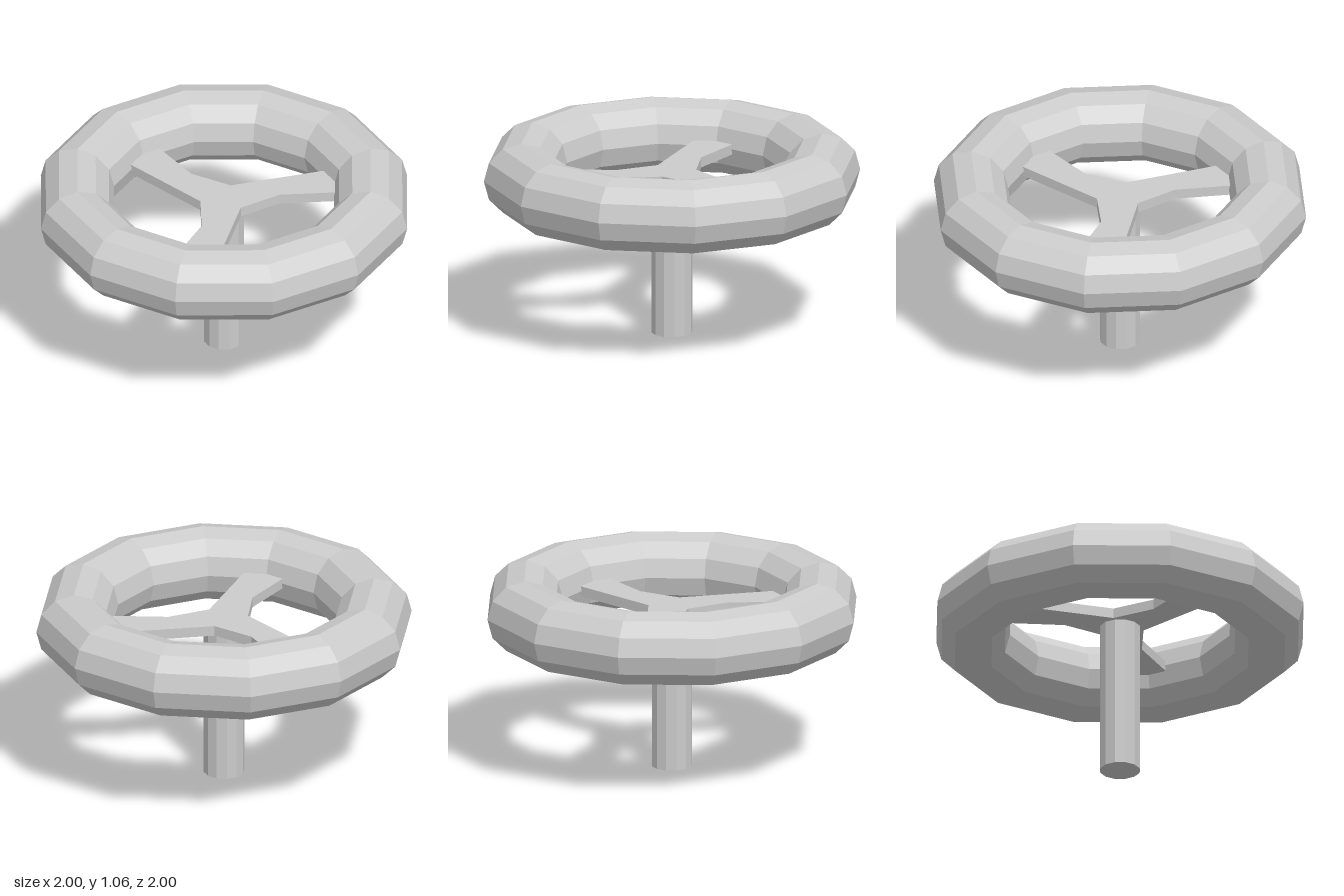
import * as THREE from 'three';

export function createModel() {
  const group = new THREE.Group();
  const material = new THREE.MeshStandardMaterial({ color: 0xcccccc, flatShading: true });
  const add = (name, geometry, y) => {
    const mesh = new THREE.Mesh(geometry, material);
    mesh.name = name;
    mesh.position.y = y;
    group.add(mesh);
  };

  // Thick twelve-sided rim, lying flat
  add('rim', new THREE.TorusGeometry(0.8, 0.2, 12, 12).rotateX(Math.PI / 2), 0.86);

  // Upright column, from the floor to the underside of the spokes
  const columnHeight = 0.84;
  add('column', new THREE.CylinderGeometry(0.108, 0.108, columnHeight, 12), columnHeight / 2);

  // Three kinked spokes in one plate: one arm's outline turned by thirds,
  // with the tips running into the rim
  const arm = [[-0.062, 0.112], [-0.29, 0.045], [-0.66, 0.115], [-0.66, -0.12]];
  const outline = [];
  for (let i = 0; i < 3; i++) {
    for (const [x, y] of arm) {
      outline.push(new THREE.Vector2(x, y).rotateAround(new THREE.Vector2(), (i * Math.PI * 2) / 3));
    }
  }
  const plate = new THREE.ExtrudeGeometry(new THREE.Shape(outline), { depth: 0.055, bevelEnabled: false });
  add('spokes', plate.rotateX(-Math.PI / 2), 0.83);

  return group;
}
